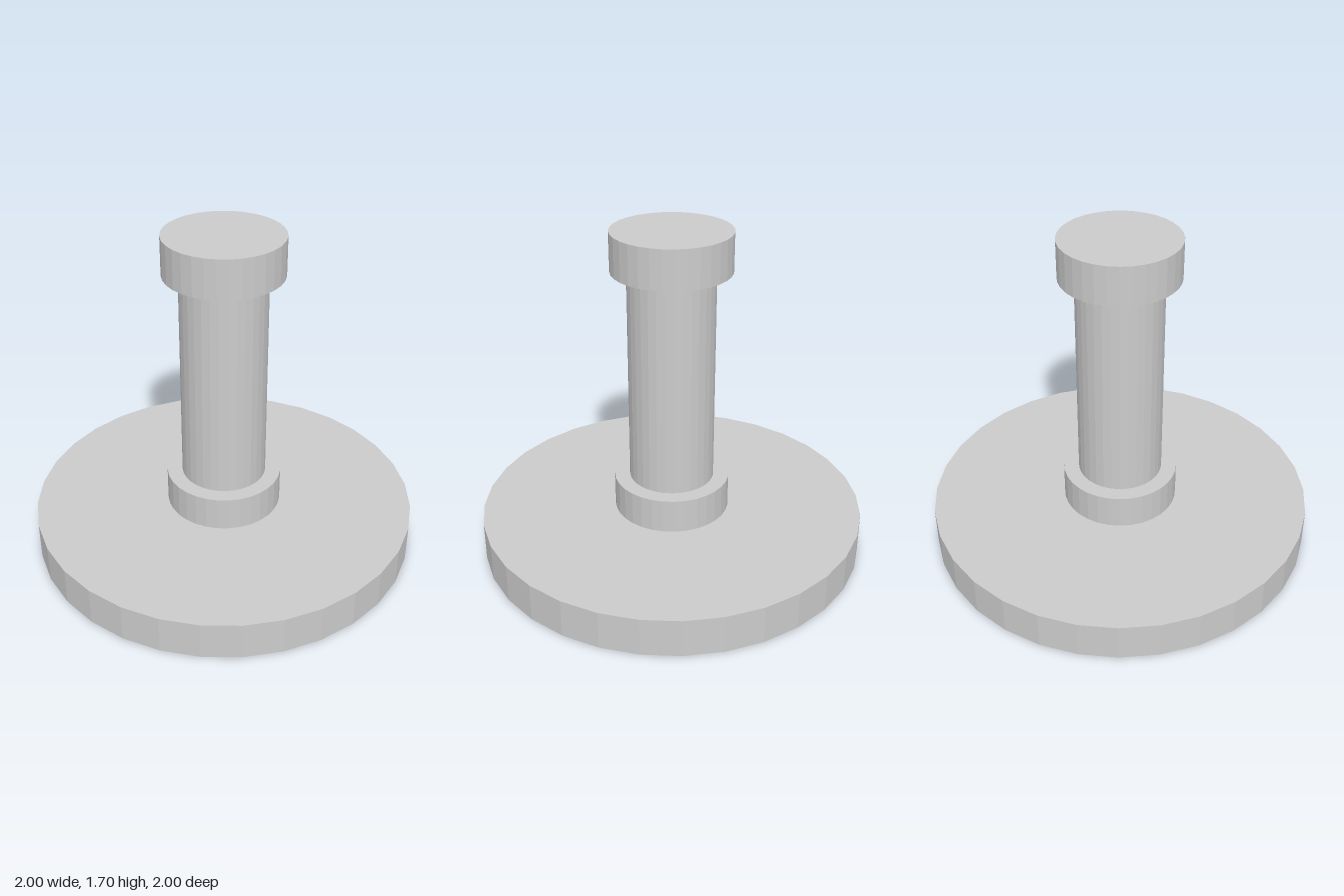
import * as THREE from 'three';

const SIDES = 32;

export function createModel() {
  const group = new THREE.Group();
  group.name = 'pedestalPost';
  const material = new THREE.MeshStandardMaterial({ color: 0xcccccc, flatShading: true });

  // Upright faceted disc or post spanning two heights
  function addCylinder(name, radius, bottom, top) {
    const height = top - bottom;
    const mesh = new THREE.Mesh(new THREE.CylinderGeometry(radius, radius, height, SIDES), material);
    mesh.name = name;
    mesh.position.y = bottom + height / 2;
    group.add(mesh);
  }

  addCylinder('base', 1, 0, 0.2);
  addCylinder('collar', 0.3, 0.2, 0.38);
  addCylinder('shaft', 0.22, 0.38, 1.5);
  addCylinder('cap', 0.3, 1.5, 1.7);

  return group;
}
